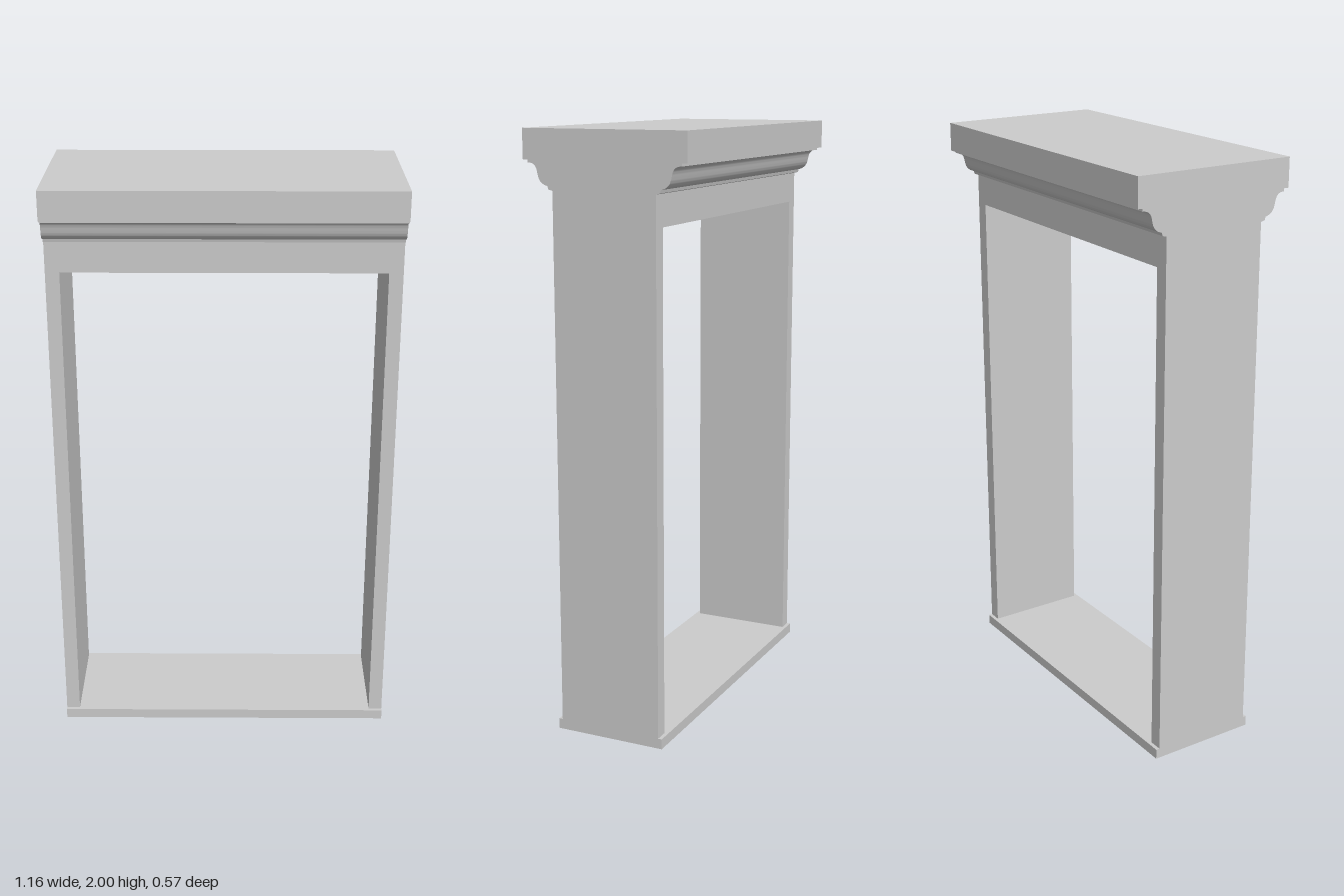
import * as THREE from 'three';
import { toCreasedNormals } from 'three/addons/utils/BufferGeometryUtils.js';

const W = 0.58;        // half width
const D = 0.18;        // half depth of the frame
const SILL = 0.035;    // top of the sill
const OPEN_X = 0.533;  // half width of the opening
const OPEN_Y = 1.705;  // top of the opening

export function createModel() {
  const group = new THREE.Group();
  const material = new THREE.MeshStandardMaterial({ color: 0xcccccc });

  const add = (name, geometry, x = 0, y = 0, z = 0) => {
    const mesh = new THREE.Mesh(geometry, material);
    mesh.name = name;
    mesh.position.set(x, y, z);
    group.add(mesh);
  };

  // Sill, slightly deeper than the frame
  add('sill', new THREE.BoxGeometry(2 * W, SILL, 0.386), 0, SILL / 2);

  // Side jambs
  const jambW = W - OPEN_X;
  const jambH = OPEN_Y - SILL;
  for (const [name, side] of [['leftJamb', 1], ['rightJamb', -1]]) {
    add(name, new THREE.BoxGeometry(jambW, jambH, 2 * D),
      side * (OPEN_X + jambW / 2), SILL + jambH / 2);
  }

  // Half profile of the header and cornice: (depth, height), from bottom to top
  const ogee = new THREE.CubicBezierCurve(
    new THREE.Vector2(0.197, 1.822), new THREE.Vector2(0.255, 1.835),
    new THREE.Vector2(0.212, 1.893), new THREE.Vector2(0.268, 1.894));
  const half = [
    new THREE.Vector2(D, OPEN_Y),
    new THREE.Vector2(D, 1.808),
    new THREE.Vector2(0.195, 1.812),
    ...ogee.getPoints(20),
    new THREE.Vector2(0.268, 1.903),
    new THREE.Vector2(0.285, 1.903),
    new THREE.Vector2(0.285, 2),
  ];
  const mirrored = half.map((p) => new THREE.Vector2(-p.x, p.y)).reverse();

  // Header with moulded cornice on front and back, swept across the width
  const header = new THREE.ExtrudeGeometry(new THREE.Shape([...half, ...mirrored]),
    { depth: 2 * W, bevelEnabled: false });
  header.translate(0, 0, -W);
  header.rotateY(Math.PI / 2);
  add('headerCornice', toCreasedNormals(header, 0.5));

  return group;
}
